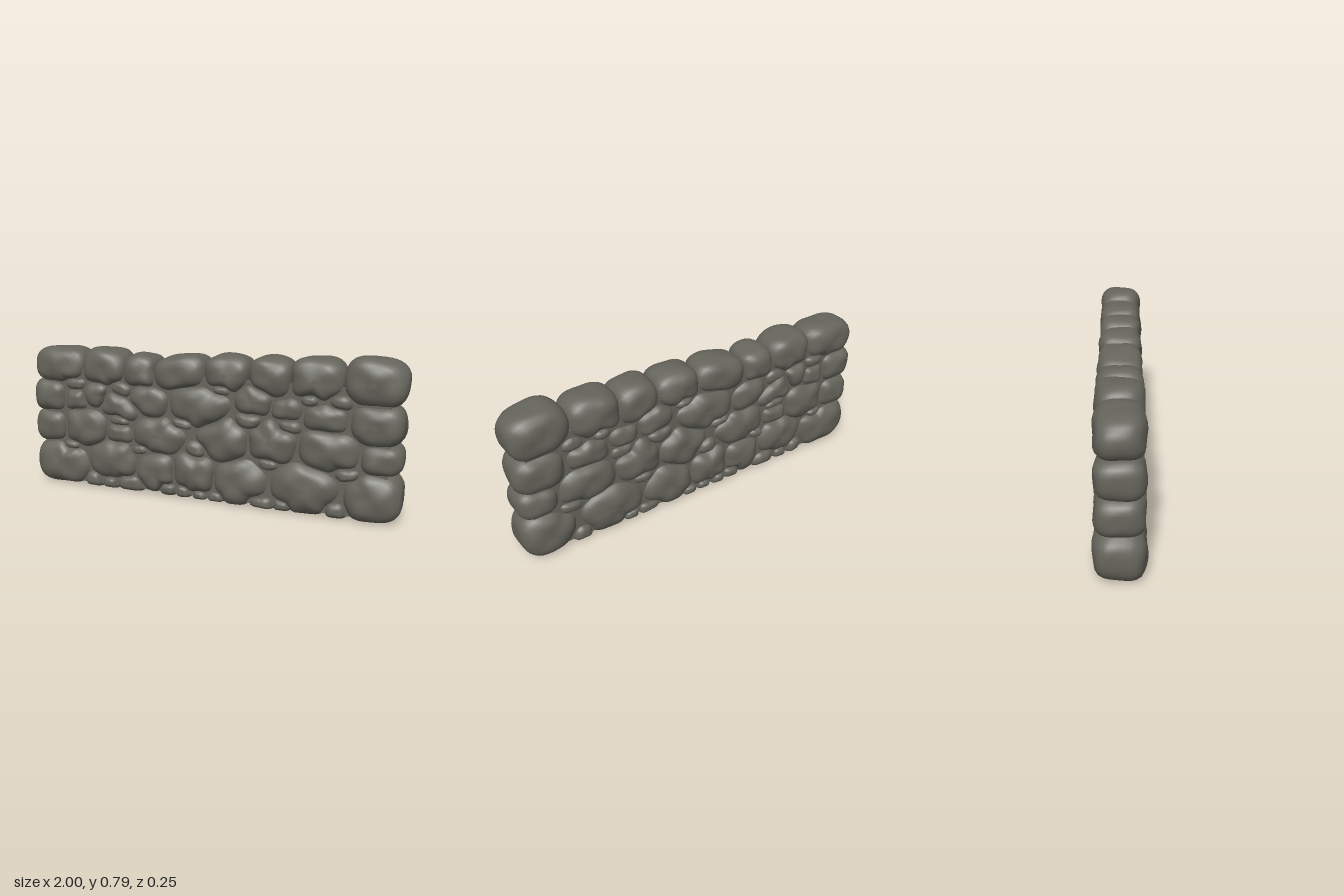
import * as THREE from 'three';

// Stones of each course: [x, y, halfWidth, halfHeight, tilt]
const courses = {
  footingStone: [
    [-.825, .125, .17, .12, 0], [-.51, .165, .16, .125, .3], [-.27, .125, .125, .1, 0],
    [-.04, .14, .13, .125, -.5], [.18, .13, .15, .115, .25], [.53, .13, .155, .125, -.1],
    [.86, .122, .135, .12, 0],
  ],
  footingChip: [
    [-.64, .045, .05, .045, 0], [-.54, .035, .045, .035, 0], [-.42, .045, .08, .045, 0],
    [-.2, .04, .05, .035, 0], [-.11, .035, .04, .035, 0], [-.02, .03, .045, .03, 0],
    [.07, .03, .05, .03, 0], [.32, .03, .07, .03, 0], [.42, .03, .05, .03, 0], [.69, .04, .055, .04, 0],
  ],
  lowerStone: [
    [-.895, .32, .1, .09, 0], [-.68, .325, .13, .11, 0], [-.47, .31, .085, .065, 0],
    [-.25, .325, .16, .1, .1], [.12, .335, .14, .12, .6], [.36, .35, .13, .115, -.3],
    [.65, .335, .15, .11, -.1], [.895, .31, .098, .075, 0],
  ],
  lowerChip: [
    [-.77, .22, .06, .03, 0], [-.36, .235, .06, .03, .2], [-.04, .265, .06, .05, 0],
    [.35, .235, .06, .03, 0], [.74, .225, .07, .035, 0], [-.47, .385, .07, .035, 0],
  ],
  upperStone: [
    [-.895, .49, .1, .09, 0], [-.73, .475, .07, .06, 0], [-.61, .515, .08, .075, 0],
    [-.48, .455, .13, .07, -.4], [-.3, .505, .12, .085, -.4], [-.02, .5, .17, .11, 0],
    [.27, .55, .1, .085, 0], [.24, .445, .09, .045, 0], [.44, .52, .09, .055, 0],
    [.63, .49, .12, .075, 0], [.865, .475, .125, .1, 0],
  ],
  upperChip: [
    [-.73, .565, .07, .035, 0], [-.46, .555, .07, .04, -.3], [-.12, .4, .07, .03, 0],
    [.45, .435, .07, .035, 0], [.55, .575, .05, .035, 0], [.7, .575, .06, .04, 0],
    [.1, .59, .06, .03, 0],
  ],
  capStone: [
    [-.83, .655, .155, .092, 0], [-.565, .655, .125, .098, -.08], [-.35, .645, .09, .09, -.1],
    [-.13, .655, .15, .085, .15], [.125, .665, .12, .092, 0], [.35, .665, .11, .095, -.1],
    [.575, .67, .13, .1, 0], [.85, .672, .142, .11, -.12],
  ],
};
const stones = Object.values(courses).flat();

// How far a point lies from a stone's middle: 1 on its rounded-box outline
function reach([cx, cy, w, h, tilt], x, y) {
  const c = Math.cos(tilt), s = Math.sin(tilt), dx = x - cx, dy = y - cy;
  const u = Math.abs(dx * c + dy * s) / w, v = Math.abs(dy * c - dx * s) / h;
  return Math.cbrt(u ** 3 + v ** 3);
}

// Grow a stone outward in every direction until it meets a neighbour
function outline(stone, count) {
  const [cx, cy, w, h] = stone;
  const near = stones.filter((o) => o !== stone
    && Math.abs(o[0] - cx) < (w + o[2]) * 1.5 && Math.abs(o[1] - cy) < (h + o[3]) * 1.5);
  const edgeStone = cy > .62 || Math.abs(cx) > .8;
  const limit = edgeStone ? 1.02 : 1.15;
  let radii = Array.from({ length: count }, (_, j) => {
    const a = j / count * Math.PI * 2, c = Math.cos(a), s = Math.sin(a);
    let r = .01;
    for (; r < .3; r += .002) {
      const x = cx + c * r, y = cy + s * r, own = reach(stone, x, y);
      if (own > limit || y < 0 || Math.abs(x) > 1) break;
      if (near.some((o) => reach(o, x, y) < own)) break;
    }
    return r * 1.03;
  });
  for (let pass = 0; pass < 2; pass++) {
    radii = radii.map((r, j) => (radii[(j + count - 1) % count] + 2 * r + radii[(j + 1) % count]) / 4);
  }
  return radii;
}

// Loft the outline through the wall, rounding it over at both faces
function stoneGeometry(stone, seed) {
  const [cx, cy, w, h] = stone, around = 40, rings = 18;
  const radii = outline(stone, around);
  const depth = .086 + .25 * Math.min(w, h);
  const pos = [], index = [];
  for (let k = 0; k <= rings; k++) {
    const f = (k / rings - .5) * Math.PI, n = 3.4;
    const c = Math.max(0, Math.cos(f)), s = Math.sin(f);
    const d = (c ** n + Math.abs(s) ** n) ** (-1 / n);
    const scale = c * d;
    for (let j = 0; j < around; j++) {
      const a = j / around * Math.PI * 2;
      const x = Math.cos(a) * radii[j] * scale, y = Math.sin(a) * radii[j] * scale;
      // Gentle lumps and a slight lean of each face
      const lump = 1 + .05 * Math.sin(x * 32 + seed * 2.1 + s) * Math.cos(y * 36 + seed * 1.3)
        + .25 * (x * Math.sin(seed * 4.7) + y * Math.cos(seed * 3.1));
      const swell = 1 + .025 * Math.sin(a * 3 + seed + s * 3);
      pos.push(THREE.MathUtils.clamp(cx + x * swell, -1, 1), Math.max(0, cy + y * swell), s * d * depth * lump);
      if (k < rings) {
        const p = k * around + j, q = k * around + (j + 1) % around;
        if (k > 0) index.push(p, q, p + around);
        if (k < rings - 1) index.push(q, q + around, p + around);
        else index.push(p, q, p + around);
      }
    }
  }
  // Close each face on a single middle point
  const g = new THREE.BufferGeometry();
  g.setAttribute('position', new THREE.Float32BufferAttribute(pos, 3));
  g.setIndex(index);
  g.computeVertexNormals();
  for (let j = 0; j < around; j++) {
    g.attributes.normal.setXYZ(j, 0, 0, -1);
    g.attributes.normal.setXYZ(rings * around + j, 0, 0, 1);
  }
  return g;
}

export function createModel() {
  const group = new THREE.Group();
  group.name = 'stoneWall';
  const stoneGrey = new THREE.MeshStandardMaterial({ color: 0x66655c });
  stoneGrey.name = 'stoneGrey';

  // Stones, course by course
  let seed = 0;
  for (const [name, list] of Object.entries(courses)) {
    const course = new THREE.Group();
    course.name = name + 's';
    for (const stone of list) {
      const mesh = new THREE.Mesh(stoneGeometry(stone, ++seed), stoneGrey);
      mesh.name = name;
      course.add(mesh);
    }
    group.add(course);
  }

  // Packed filling behind the joints
  const core = new THREE.Mesh(new THREE.BoxGeometry(1.86, .63, .15), stoneGrey);
  core.name = 'core';
  core.position.y = .335;
  group.add(core);
  return group;
}
